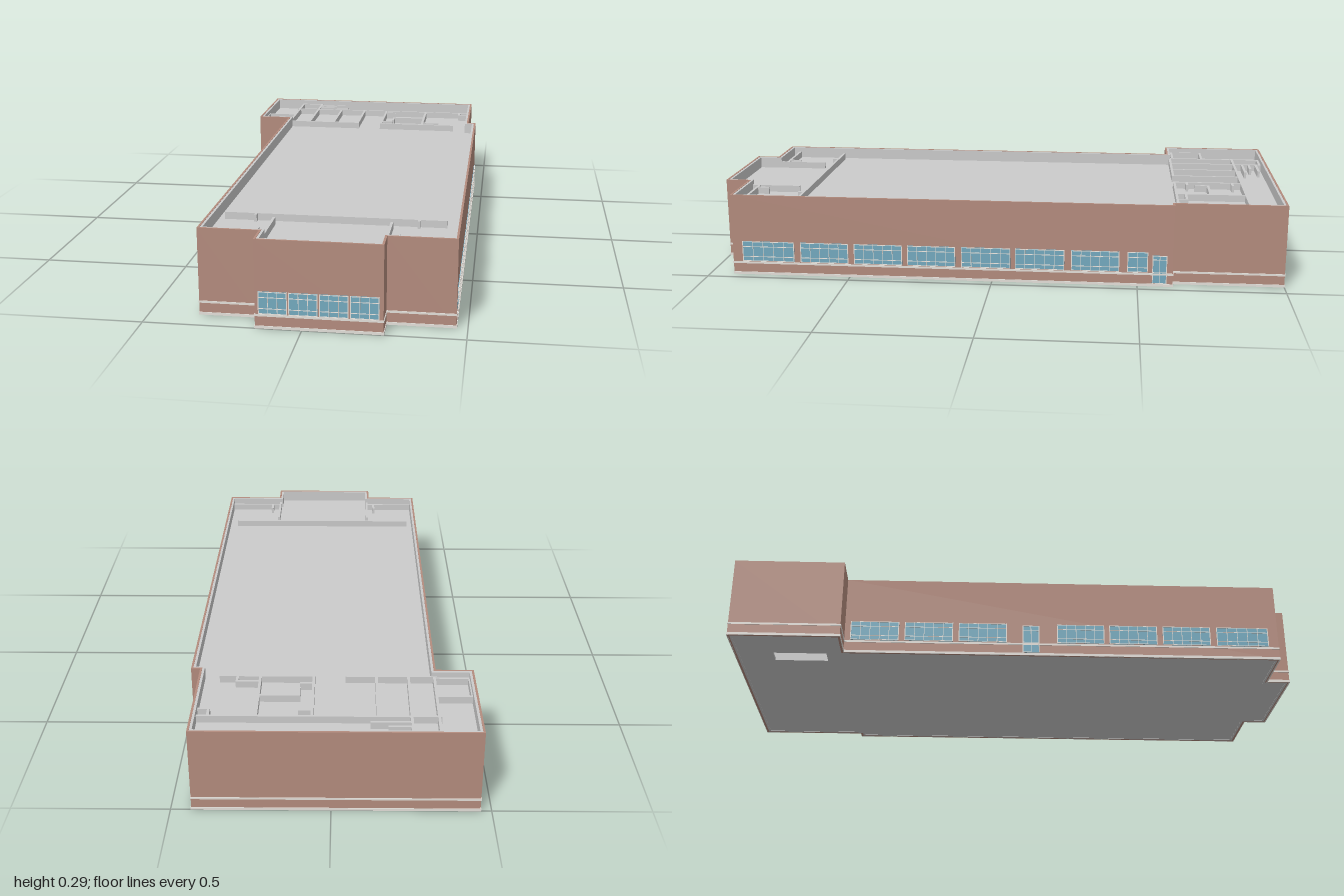
import * as THREE from 'three';

const paint = (color) => new THREE.MeshStandardMaterial({ color, roughness: 0.9 });
const grey = paint(0xcccccc);
const brick = paint(0xb48c7e);
const trim = paint(0xe4e0da);
const glass = paint(0x74aabf);

// Outer footprint as [x, -z], counter-clockwise
const outline = [
  [-0.465, 1], [-0.465, 0.62], [-0.34, 0.62], [-0.34, -0.915],
  [-0.145, -0.915], [-0.145, -0.998], [0.25, -0.998], [0.25, -0.915],
  [0.465, -0.915], [0.465, 0.62], [0.435, 0.62], [0.435, 1],
];

// Moves every side of the square-cornered footprint inward by d
function inset(d) {
  const n = outline.length;
  return outline.map((p, i) => {
    const a = outline[(i + n - 1) % n], b = outline[(i + 1) % n];
    const d1 = [Math.sign(p[0] - a[0]), Math.sign(p[1] - a[1])];
    const d2 = [Math.sign(b[0] - p[0]), Math.sign(b[1] - p[1])];
    return new THREE.Vector2(p[0] - d * (d1[1] + d2[1]), p[1] + d * (d1[0] + d2[0]));
  });
}

function extrudeUp(shape, y0, y1) {
  const geo = new THREE.ExtrudeGeometry(shape, { depth: y1 - y0, bevelEnabled: false });
  return geo.rotateX(-Math.PI / 2).translate(0, y0, 0);
}

// Closed ring following the footprint between two insets
function ring(outer, inner, y0, y1) {
  const shape = new THREE.Shape(inset(outer));
  shape.holes.push(new THREE.Path(inset(inner)));
  return extrudeUp(shape, y0, y1);
}

function add(parent, name, geo, mat) {
  const mesh = new THREE.Mesh(geo, mat);
  mesh.name = name;
  parent.add(mesh);
  return mesh;
}

function box(parent, name, mat, w, h, d, x, y, z) {
  return add(parent, name, new THREE.BoxGeometry(w, h, d).translate(x, y, z), mat);
}

// Glazed unit facing local +z, with evenly spaced upright bars
function glazing(name, width, y0, y1, columns, bars) {
  const g = new THREE.Group();
  g.name = name;
  const h = y1 - y0, t = 0.003;
  box(g, 'glassPane', glass, width, h, 0.004, 0, y0 + h / 2, 0);
  for (let i = 0; i <= columns; i++) {
    const edge = i === 0 || i === columns;
    const x = (i / columns - 0.5) * (width - t);
    box(g, 'uprightBar', trim, edge ? t : 0.0018, h, 0.007, x, y0 + h / 2, 0);
  }
  for (const y of [y0 + t / 2, ...bars, y1 - t / 2]) {
    box(g, 'crossBar', trim, width, 0.0022, 0.007, 0, y, 0);
  }
  return g;
}

// Places glazing on a long side wall (side 1 is +x, -1 is -x)
function sideGlazing(parent, name, side, za, zb, y0, y1, columns, bars) {
  const g = glazing(name, Math.abs(za - zb), y0, y1, columns, bars);
  g.rotation.y = side * Math.PI / 2;
  g.position.set(side > 0 ? 0.465 : -0.34, 0, (za + zb) / 2);
  parent.add(g);
}

export function createModel() {
  const model = new THREE.Group();
  model.name = 'building';

  // Outer brick skin, inner lining and stone bands
  add(model, 'brickWalls', ring(0, 0.007, 0, 0.287), brick);
  add(model, 'wallLining', ring(0.007, 0.015, 0, 0.286), grey);
  add(model, 'baseBand', ring(-0.002, 0.003, 0, 0.009), trim);
  add(model, 'sillBand', ring(-0.002, 0.003, 0.04, 0.047), trim);

  // Floor slab with the stair opening, and the sunken roof deck
  const floor = new THREE.Shape(inset(0.005));
  floor.holes.push(new THREE.Path([
    [-0.325, 0.68], [-0.325, 0.865], [-0.265, 0.865], [-0.265, 0.68],
  ].map((p) => new THREE.Vector2(...p))));
  add(model, 'floorSlab', extrudeUp(floor, 0.001, 0.009), grey);
  add(model, 'roofDeck', extrudeUp(new THREE.Shape(inset(0.012)), 0.238, 0.246), grey);

  // Partitions rising through the roof deck: [x0, z0, x1, z1]
  const partitions = new THREE.Group();
  partitions.name = 'partitions';
  model.add(partitions);
  const runs = [
    // rear corridor and rooms on the right
    [-0.34, -0.88, 0.425, -0.88], [-0.335, -0.98, -0.335, -0.635],
    [-0.25, -0.98, -0.25, -0.635], [-0.145, -0.88, -0.145, -0.635],
    [-0.04, -0.88, -0.04, -0.635], [-0.34, -0.635, -0.04, -0.635],
    // corner room
    [-0.45, -0.76, -0.34, -0.76], [-0.45, -0.76, -0.45, -0.645], [-0.45, -0.645, -0.34, -0.645],
    // small stalls
    [-0.335, -0.98, -0.25, -0.98], [-0.25, -0.965, -0.145, -0.965],
    [-0.25, -0.937, -0.18, -0.937], [-0.25, -0.912, -0.125, -0.912],
    // rear rooms on the left
    [0.06, -0.88, 0.06, -0.635], [0.06, -0.635, 0.365, -0.635],
    [0.235, -0.88, 0.235, -0.635], [0.105, -0.755, 0.235, -0.755],
    [0.105, -0.755, 0.105, -0.71], [0.235, -0.668, 0.31, -0.668],
    [0.31, -0.668, 0.31, -0.635], [0.06, -0.845, 0.1, -0.845], [0.06, -0.68, 0.1, -0.68],
    [0.385, -0.875, 0.385, -0.84], [0.385, -0.84, 0.425, -0.84],
    // front screen wall and bay rooms
    [-0.3, 0.688, 0.415, 0.688], [-0.2, 0.688, -0.2, 0.705], [0.33, 0.688, 0.33, 0.705],
    [-0.135, 0.73, -0.135, 0.91], [0.245, 0.73, 0.245, 0.91],
    [-0.33, 0.875, -0.14, 0.875], [0.25, 0.875, 0.455, 0.875],
    [-0.165, 0.835, -0.165, 0.875], [0.278, 0.835, 0.278, 0.875],
  ];
  const t = 0.009, top = 0.27;
  for (const [x0, z0, x1, z1] of runs) {
    box(partitions, 'partition', grey, Math.abs(x1 - x0) + t, top - 0.008, Math.abs(z1 - z0) + t,
      (x0 + x1) / 2, (top + 0.008) / 2, (z0 + z1) / 2);
  }

  // Four windows across the front bay
  for (let i = 0; i < 4; i++) {
    const w = glazing('frontWindow', 0.09, 0.048, 0.121, 3, [0.066, 0.102]);
    w.position.set(-0.089 + i * 0.094, 0, 0.998);
    model.add(w);
  }

  // Left side: window row and a door near the back
  const leftSpans = [[0.88, 0.695], [0.673, 0.503], [0.483, 0.313], [0.295, 0.127],
    [0.107, -0.064], [-0.08, -0.25], [-0.273, -0.438], [-0.465, -0.535]];
  for (const [a, b] of leftSpans) {
    sideGlazing(model, 'leftWindow', 1, a, b, 0.049, 0.121, a - b > 0.1 ? 5 : 2, [0.066, 0.102]);
  }
  sideGlazing(model, 'leftDoor', 1, -0.55, -0.6, 0.01, 0.11, 2, [0.05, 0.095]);

  // Right side: window row split by a door
  const rightSpans = [[0.88, 0.695], [0.673, 0.503], [0.483, 0.313], [0.295, 0.127],
    [-0.05, -0.22], [-0.24, -0.41], [-0.43, -0.6]];
  for (const [a, b] of rightSpans) {
    sideGlazing(model, 'rightWindow', -1, a, b, 0.049, 0.121, 5, [0.066, 0.102]);
  }
  sideGlazing(model, 'rightDoor', -1, 0.065, 0.005, 0.01, 0.115, 2, [0.05, 0.095]);

  return model;
}
